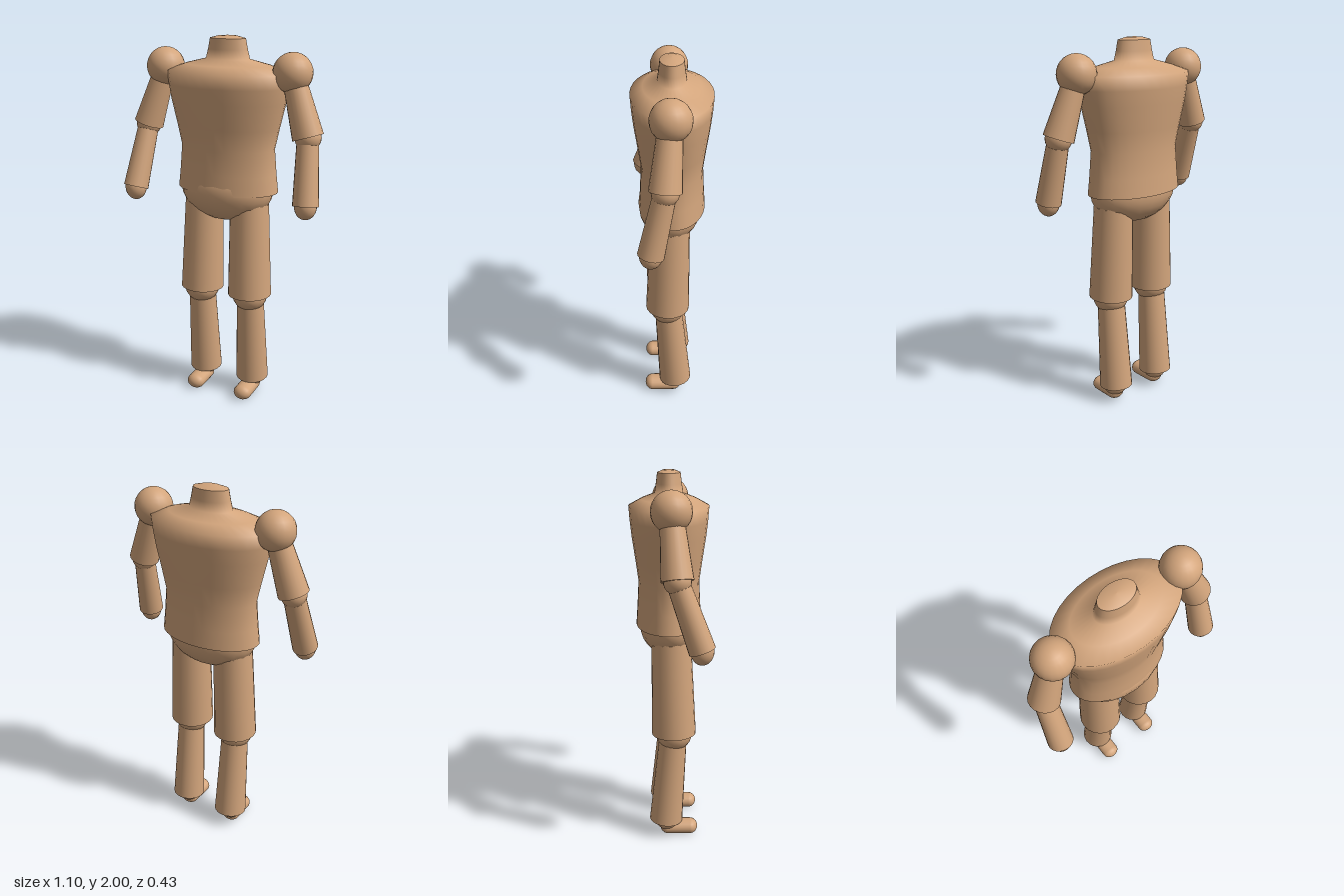
import * as THREE from 'three';

export function createModel() {
  const model = new THREE.Group();
  model.name = 'jointedMannequin';
  const wood = new THREE.MeshStandardMaterial({ color: 0xd3a57c });
  wood.name = 'tan wood';

  function add(name, geometry) {
    const mesh = new THREE.Mesh(geometry, wood);
    mesh.name = name;
    model.add(mesh);
    return mesh;
  }
  // Tapered limb running from a down to b
  function limb(name, a, b, rTop, rBottom) {
    const from = new THREE.Vector3(...a), to = new THREE.Vector3(...b);
    const axis = from.clone().sub(to);
    const mesh = add(name, new THREE.CylinderGeometry(rTop, rBottom, axis.length(), 20));
    mesh.position.copy(from).add(to).multiplyScalar(0.5);
    mesh.quaternion.setFromUnitVectors(new THREE.Vector3(0, 1, 0), axis.normalize());
  }
  function ball(name, p, rx, ry = rx, rz = rx) {
    const mesh = add(name, new THREE.SphereGeometry(1, 20, 14));
    mesh.position.set(...p);
    mesh.scale.set(rx, ry, rz);
  }

  // Torso and neck: one smooth profile, flattened front to back
  const profile = [
    [0.283, 1.2], [0.272, 1.3], [0.261, 1.43], [0.285, 1.54], [0.316, 1.67],
    [0.33, 1.75], [0.338, 1.82], [0.235, 1.855], [0.12, 1.883], [0.108, 1.93], [0.097, 1.985],
  ].map(([r, y]) => new THREE.Vector2(r, y));
  const torso = add('torso', new THREE.LatheGeometry(profile, 32));
  const neckCap = add('neckTop', new THREE.LatheGeometry(
    [[0.097, 1.985], [0.05, 1.997], [0, 2]].map(([r, y]) => new THREE.Vector2(r, y)), 32));
  const base = add('torsoBase', new THREE.LatheGeometry(
    [new THREE.Vector2(0, 1.2), new THREE.Vector2(0.283, 1.2)], 32));
  for (const part of [torso, neckCap, base]) {
    part.scale.z = 0.615;
    part.position.z = -0.01;
  }

  // Rounded pelvis
  ball('pelvis', [0, 1.2, 0], 0.26, 0.17, 0.168);

  for (const s of [-1, 1]) {
    const side = s > 0 ? 'left' : 'right';

    // Leg
    limb(side + 'Thigh', [s * 0.132, 1.21, 0], [s * 0.145, 0.618, 0.016], 0.102, 0.119);
    ball(side + 'Knee', [s * 0.147, 0.62, 0.017], 0.098);
    limb(side + 'Shin', [s * 0.148, 0.6, 0.012], [s * 0.148, 0.092, -0.027], 0.074, 0.091);
    ball(side + 'Ankle', [s * 0.15, 0.1, -0.022], 0.068);
    const foot = add(side + 'Foot', new THREE.CapsuleGeometry(0.041, 0.125, 8, 18));
    foot.rotation.x = Math.PI / 2;
    foot.scale.x = 1.25;
    foot.position.set(s * 0.148, 0.045, 0.045);

    // Arm; the right forearm swings further forward
    const elbow = [s * 0.457, 1.522, 0.027];
    const wrist = [s * 0.481, 1.188, s > 0 ? 0.098 : 0.147];
    ball(side + 'Shoulder', [s * 0.358, 1.83, 0], 0.101);
    limb(side + 'UpperArm', [s * 0.358, 1.83, 0], elbow, 0.056, 0.08);
    ball(side + 'Elbow', elbow, 0.068);
    limb(side + 'Forearm', elbow, wrist, 0.055, 0.067);
    ball(side + 'Hand', wrist, 0.058, 0.07, 0.058);
  }
  return model;
}
